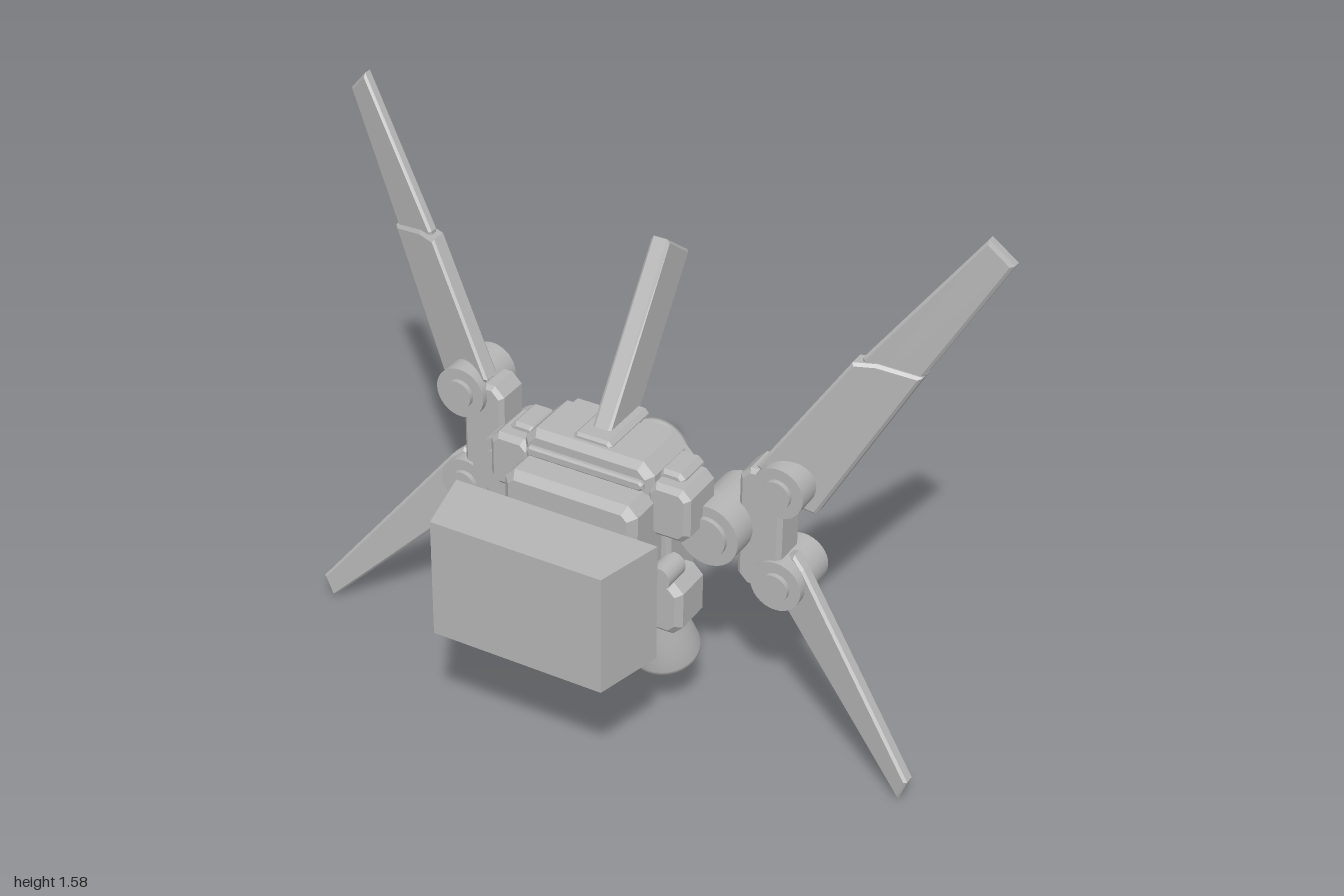
import * as THREE from 'three';

export function createModel() {
  const root = new THREE.Group();
  root.name = 'thrusterPack';
  const grey = new THREE.MeshStandardMaterial({ color: 0xb4b4b4 });
  grey.name = 'lightGrey';
  const greyOpen = new THREE.MeshStandardMaterial({ color: 0xb4b4b4, side: THREE.DoubleSide });
  greyOpen.name = 'lightGreyOpen';

  const add = (name, geo, mat = grey) => {
    const mesh = new THREE.Mesh(geo, mat);
    mesh.name = name;
    root.add(mesh);
    return mesh;
  };
  const outline = pts => new THREE.Shape(pts.map(p => new THREE.Vector2(p[0], p[1])));

  // Plate from an xy outline between two z values, with chamfered rims
  const plate = (pts, z0, z1, c, hole) => {
    const shape = outline(pts);
    if (hole) shape.holes.push(outline(hole));
    const geo = new THREE.ExtrudeGeometry(shape, {
      depth: z1 - z0 - 2 * c, bevelEnabled: c > 0, bevelThickness: c,
      bevelSize: c, bevelOffset: -c, bevelSegments: 1, steps: 1,
    });
    return geo.translate(0, 0, z0 + c);
  };
  // Rectangle with cut corners
  const cutRect = (x0, x1, y0, y1, k) => [
    [x0 + k, y0], [x1 - k, y0], [x1, y0 + k], [x1, y1 - k],
    [x1 - k, y1], [x0 + k, y1], [x0, y1 - k], [x0, y0 + k]];
  const block = (name, x0, x1, y0, y1, z0, z1, c = 0.012, k = c * 1.5) =>
    add(name, plate(cutRect(x0, x1, y0, y1, k), z0, z1, c));
  // Block on one side of the model
  const sideBlock = (name, s, x0, x1, ...rest) =>
    block(name, Math.min(s * x0, s * x1), Math.max(s * x0, s * x1), ...rest);
  // Disc or pin lying along z
  const pin = (name, x, y, r, z0, z1) =>
    add(name, new THREE.CylinderGeometry(r, r, z1 - z0, 32).rotateX(Math.PI / 2)
      .translate(x, y, (z0 + z1) / 2));
  // Slanted wing: z follows x through a shear
  const wing = (name, s, pts, half, slope, base) => {
    const geo = plate(pts.map(([x, y]) => [x * s, y]), -half, half, 0.008);
    const p = geo.attributes.position;
    for (let i = 0; i < p.count; i++) {
      p.setZ(i, p.getZ(i) + slope * Math.abs(p.getX(i)) + base);
    }
    geo.computeVertexNormals();
    add(name, geo);
  };
  // Hollow bell opening towards -y
  const bell = (name, neck, mouth, length) => {
    const pts = [[0.001, -0.06], [neck * 0.8, -0.06], [mouth - 0.012, -length],
      [mouth, -length], [mouth, -length + 0.012], [mouth * 0.93, -length * 0.72],
      [mouth * 0.8, -length * 0.42], [neck, -length * 0.12], [neck * 0.92, 0], [0.001, 0]];
    return add(name, new THREE.LatheGeometry(pts.map(p => new THREE.Vector2(...p)), 32), greyOpen);
  };

  // Floating front block, wider at the back
  const front = new THREE.BoxGeometry(0.62, 0.36, 0.205);
  const fp = front.attributes.position;
  for (let i = 0; i < fp.count; i++) if (fp.getZ(i) > 0) fp.setX(i, fp.getX(i) * 0.26 / 0.31);
  front.computeVertexNormals();
  front.translate(0, 0.58, 0.33);
  add('frontBlock', front);

  // Main body
  block('frontPanel', -0.205, 0.205, 0.365, 0.795, -0.02, 0.17, 0.022, 0.03);
  block('rearBody', -0.21, 0.21, 0.4, 0.87, -0.185, 0.06, 0.045, 0.06);
  block('topCap', -0.2, 0.2, 0.72, 0.875, -0.13, 0.07, 0.02, 0.035);
  block('lowerBody', -0.2, 0.2, 0.345, 0.5, -0.1, 0.05, 0.02, 0.03);
  block('panelLip', -0.18, 0.18, 0.8, 0.83, 0.03, 0.085, 0.006);
  add('rearVent', plate(cutRect(-0.055, 0.055, 0.775, 0.82, 0.008), -0.2, -0.17, 0.004,
    [[-0.035, 0.788], [0.035, 0.788], [0.035, 0.807], [-0.035, 0.807]]));

  // Central fin, drawn in side profile and turned to face sideways
  const finShape = [[0, 0.875], [0.32, 1.325], [0.435, 1.24], [0.173, 0.875]];
  add('fin', plate(finShape, -0.028, 0.028, 0.008).rotateY(Math.PI / 2));
  block('finBase', -0.06, 0.06, 0.86, 0.89, -0.17, 0.04, 0.008);

  // Rear thruster
  bell('rearThruster', 0.065, 0.1, 0.13).rotation.x = Math.PI / 2;
  root.children.at(-1).position.set(0, 0.648, -0.203);
  pin('rearThrusterCollar', 0, 0.648, 0.06, -0.23, -0.17);

  for (const s of [1, -1]) {
    // Shoulder and hip blocks
    sideBlock('shoulderBlock', s, 0.18, 0.31, 0.66, 0.825, -0.09, 0.065, 0.015, 0.025);
    sideBlock('shoulderCap', s, 0.19, 0.27, 0.78, 0.845, -0.1, 0.02, 0.01);
    sideBlock('hipBlock', s, 0.17, 0.285, 0.34, 0.51, -0.09, 0.055, 0.018, 0.03);
    sideBlock('sideSpine', s, 0.17, 0.23, 0.45, 0.72, -0.13, 0.02, 0.012);
    pin('sidePeg', s * 0.235, 0.545, 0.035, 0.0, 0.09);

    // Lower thrusters, tilted backwards
    const t = bell('lowerThruster', 0.062, 0.1, 0.18);
    t.rotation.x = 0.3;
    t.position.set(s * 0.17, 0.363, -0.022);
    const collar = add('lowerThrusterCollar', new THREE.CylinderGeometry(0.056, 0.056, 0.06, 32));
    collar.rotation.x = 0.3;
    collar.position.set(s * 0.17, 0.37, -0.02);

    // Main hinge
    pin('hinge', s * 0.325, 0.655, 0.092, -0.1, -0.015);
    pin('hingeCore', s * 0.325, 0.655, 0.085, -0.23, -0.1);
    pin('hingeCap', s * 0.325, 0.655, 0.06, -0.25, 0.0);

    // Bracket carrying both wing joints
    sideBlock('bracket', s, 0.37, 0.5, 0.47, 0.845, -0.215, -0.1, 0.012, 0.03);
    for (const [y, z0, z1] of [[0.81, -0.25, -0.08], [0.505, -0.255, -0.09]]) {
      pin('wingJoint', s * 0.495, y, 0.076, z0, z1);
      pin('wingJointCap', s * 0.495, y, 0.043, z0 - 0.018, z1 + 0.015);
    }

    // Wings
    wing('upperWingInner', s, [[0.51, 0.75], [0.57, 0.72], [0.81, 1.17], [0.7, 1.2],
      [0.64, 1.2], [0.42, 0.86]], 0.03, -0.39, 0.035);
    wing('upperWingOuter', s, [[0.66, 1.1], [0.77, 1.1], [1.0, 1.51], [0.935, 1.58],
      [0.66, 1.21]], 0.019, -0.39, 0.035);
    wing('lowerWing', s, [[0.45, 0.46], [0.925, 0.0], [0.95, 0.07], [0.56, 0.56],
      [0.525, 0.59], [0.45, 0.55]], 0.022, 0.29, -0.305);
  }
  return root;
}
